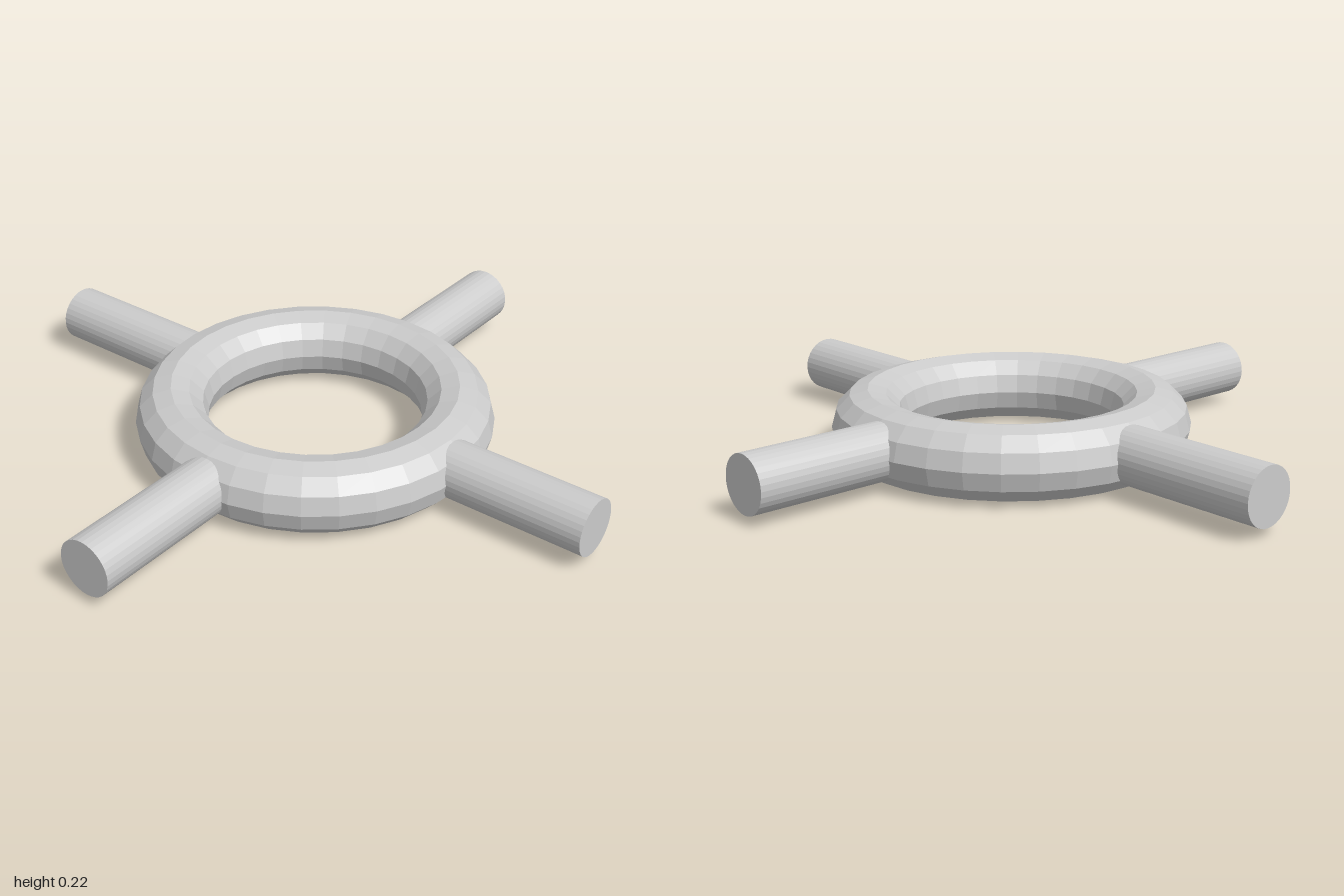
import * as THREE from 'three';

export function createModel() {
  const model = new THREE.Group();
  const material = new THREE.MeshStandardMaterial({ color: 0xcccccc, flatShading: true });
  const centre = new THREE.Vector3(0.015, 0.112, -0.016);
  const ringRadius = 0.444, tubeRadius = 0.112, rodRadius = 0.088;

  // Faceted ring lying flat
  const ringGeometry = new THREE.TorusGeometry(ringRadius, tubeRadius, 12, 32);
  ringGeometry.rotateX(-Math.PI / 2);
  const ring = new THREE.Mesh(ringGeometry, material);
  ring.name = 'ring';
  ring.position.copy(centre);
  model.add(ring);

  // Four round handles, each running from the ring's core to its outer tip
  const handles = [
    ['leftHandle', 0, 1 - centre.x],
    ['backHandle', Math.PI / 2, 0.988 + centre.z],
    ['rightHandle', Math.PI, 1 + centre.x],
    ['frontHandle', -Math.PI / 2, 0.988 - centre.z],
  ];
  for (const [name, angle, tip] of handles) {
    const length = tip - ringRadius;
    const geometry = new THREE.CylinderGeometry(rodRadius, rodRadius, length, 32);
    geometry.rotateZ(-Math.PI / 2);
    geometry.translate(ringRadius + length / 2, 0.003, 0);
    const handle = new THREE.Mesh(geometry, material);
    handle.name = name;
    handle.rotation.y = angle;
    handle.position.copy(centre);
    model.add(handle);
  }
  return model;
}
